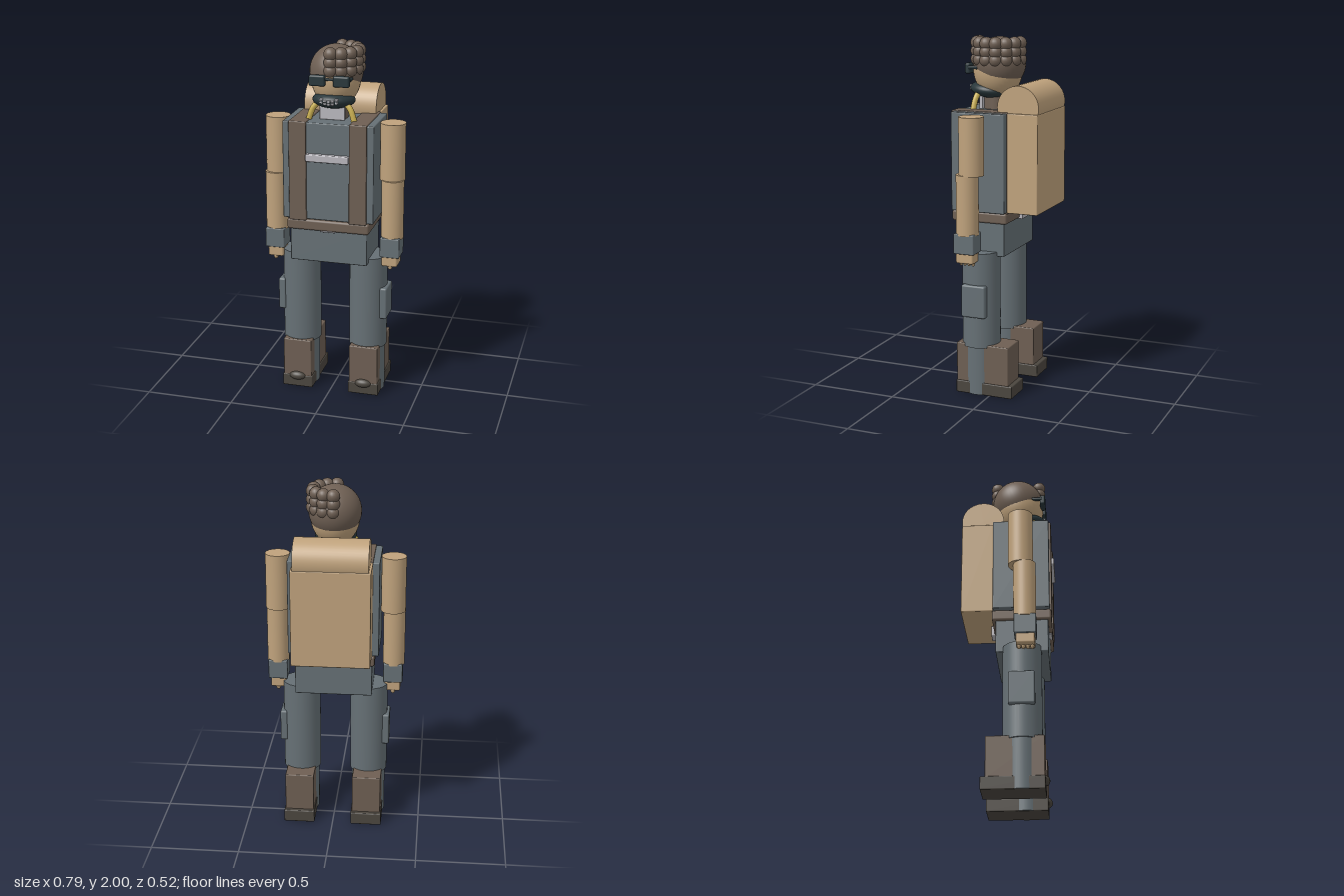
import * as THREE from 'three';
import { RoundedBoxGeometry } from 'three/addons/geometries/RoundedBoxGeometry.js';

export function createModel() {
  const model = new THREE.Group();
  const mat = (name, color) => {
    const m = new THREE.MeshStandardMaterial({ color });
    m.name = name;
    return m;
  };
  const cloth = mat('blue grey cloth', 0x667075);
  const leather = mat('brown leather', 0x6e5f53);
  const tan = mat('tan', 0xbfa27c);
  const dark = mat('dark teal', 0x28363a);
  const silver = mat('silver', 0xb9b7bd);
  const yellow = mat('yellow tube', 0xc8ae50);
  const soleMat = mat('dark sole', 0x4b463f);

  const add = (name, geo, material, x = 0, y = 0, z = 0) => {
    const mesh = new THREE.Mesh(geo, material);
    mesh.name = name;
    mesh.position.set(x, y, z);
    model.add(mesh);
    return mesh;
  };
  // Box given by its limits on each axis
  const box = (name, material, [x0, x1], [y0, y1], [z0, z1], r = 0.006) => {
    const w = x1 - x0, h = y1 - y0, d = z1 - z0;
    return add(name, new RoundedBoxGeometry(w, h, d, 2, Math.min(r, w / 3, h / 3, d / 3)),
      material, (x0 + x1) / 2, (y0 + y1) / 2, (z0 + z1) / 2);
  };
  const cylinder = (name, material, r, y0, y1, x, z) =>
    add(name, new THREE.CylinderGeometry(r, r, y1 - y0, 40), material, x, (y0 + y1) / 2, z);
  const ellipsoid = (name, material, x, y, z, rx, ry, rz) => {
    const mesh = add(name, new THREE.SphereGeometry(1, 36, 24), material, x, y, z);
    mesh.scale.set(rx, ry, rz);
    return mesh;
  };
  // Limits along x, mirrored to the chosen side
  const side = (s, a, b) => (s > 0 ? [a, b] : [-b, -a]);

  // Torso, pelvis and belt
  box('torso', cloth, [-0.255, 0.255], [1.05, 1.598], [-0.08, 0.235]);
  box('pelvis', cloth, [-0.218, 0.218], [0.8, 1.0], [-0.065, 0.225]);
  box('belt', leather, [-0.232, 0.232], [0.987, 1.048], [-0.085, 0.243], 0.012);
  box('rearBuckle', silver, [-0.04, 0.04], [0.982, 1.043], [-0.103, -0.07]);
  box('frontBuckle', silver, [-0.04, 0.04], [0.982, 0.99], [0.2, 0.241]);
  box('chestStrap', silver, [-0.12, 0.12], [1.385, 1.427], [0.22, 0.26]);

  // Backpack with a bedroll on top
  box('backpack', tan, [-0.218, 0.218], [1.05, 1.6], [-0.26, -0.08]);
  const roll = add('bedroll', new THREE.CylinderGeometry(0.12, 0.12, 0.41, 48), tan, 0, 1.63, -0.141);
  roll.rotation.z = Math.PI / 2;

  for (const s of [1, -1]) {
    box('shoulderStrap', leather, side(s, 0.12, 0.218), [1.043, 1.604], [-0.085, 0.247]);

    // Arm
    cylinder('upperArm', tan, 0.069, 1.27, 1.59, s * 0.326, 0.08);
    cylinder('forearm', tan, 0.062, 0.94, 1.275, s * 0.333, 0.102);
    box('cuff', cloth, side(s, 0.276, 0.386), [0.837, 0.95], [0.045, 0.165]);
    box('hand', tan, side(s, 0.285, 0.374), [0.782, 0.85], [0.055, 0.157], 0.01);
    for (let i = 0; i < 4; i++) {
      ellipsoid('finger', tan, s * 0.332, 0.784, 0.07 + i * 0.024, 0.014, 0.022, 0.011);
    }

    // Leg, knee pad and boot
    const x = s * 0.195;
    cylinder('thigh', cloth, 0.107, 0.28, 0.825, x, 0.08);
    cylinder('shin', cloth, 0.097, 0.002, 0.29, x, 0.08);
    box('kneePad', cloth, side(s, 0.275, 0.317), [0.46, 0.645], [0.01, 0.153], 0.01);
    box('boot', leather, [x - 0.083, x + 0.083], [0.06, 0.295], [-0.113, 0.2]);
    box('sole', soleMat, [x - 0.089, x + 0.089], [0, 0.072], [-0.138, 0.202]);
    ellipsoid('toeCap', soleMat, x, 0.068, 0.195, 0.048, 0.026, 0.028);

    // Breathing tube from jaw to chest
    const path = new THREE.CatmullRomCurve3([
      new THREE.Vector3(s * 0.07, 1.7, 0.14),
      new THREE.Vector3(s * 0.105, 1.66, 0.15),
      new THREE.Vector3(s * 0.13, 1.59, 0.157),
    ]);
    add('breathingTube', new THREE.TubeGeometry(path, 14, 0.016, 12), yellow);

    // Glasses
    box('lens', dark, side(s, 0.022, 0.112), [1.793, 1.853], [0.183, 0.214], 0.014);
    box('glassesArm', dark, side(s, 0.095, 0.115), [1.82, 1.838], [0.11, 0.195]);
  }
  box('glassesBridge', dark, [-0.03, 0.03], [1.824, 1.838], [0.19, 0.205]);

  // Neck and head
  cylinder('neck', leather, 0.07, 1.58, 1.76, 0, 0.07);
  box('collarPlate', silver, [-0.07, 0.07], [1.598, 1.69], [0.125, 0.145], 0.003);
  ellipsoid('face', tan, 0, 1.815, 0.06, 0.136, 0.16, 0.138);
  const jaw = ellipsoid('jawMask', dark, 0, 1.703, 0.103, 0.117, 0.048, 0.115);
  jaw.rotation.x = -0.1;

  // Two curved rows of teeth
  for (let i = -2; i <= 2; i++) {
    for (const row of [0, 1]) {
      box('tooth', silver, [i * 0.021 - 0.009, i * 0.021 + 0.009],
        [1.692 + row * 0.016 + i * i * 0.002, 1.705 + row * 0.016 + i * i * 0.002],
        [0.18, 0.22 - i * i * 0.002], 0.004);
    }
  }

  // Hair cap, tilted back, with curls round the left half
  const cap = add('hairCap',
    new THREE.SphereGeometry(0.146, 40, 28, 0, Math.PI * 2, 0, 1.96), leather, 0, 1.85, 0.05);
  cap.rotation.x = -0.35;
  const curl = new THREE.SphereGeometry(0.037, 18, 14);
  for (const y of [1.963, 1.918, 1.873]) {
    for (let i = 0; i < 8; i++) {
      const a = (i / 7) * Math.PI;
      add('curl', curl, leather, 0.123 * Math.sin(a), y, 0.052 + 0.123 * Math.cos(a));
    }
  }
  return model;
}
